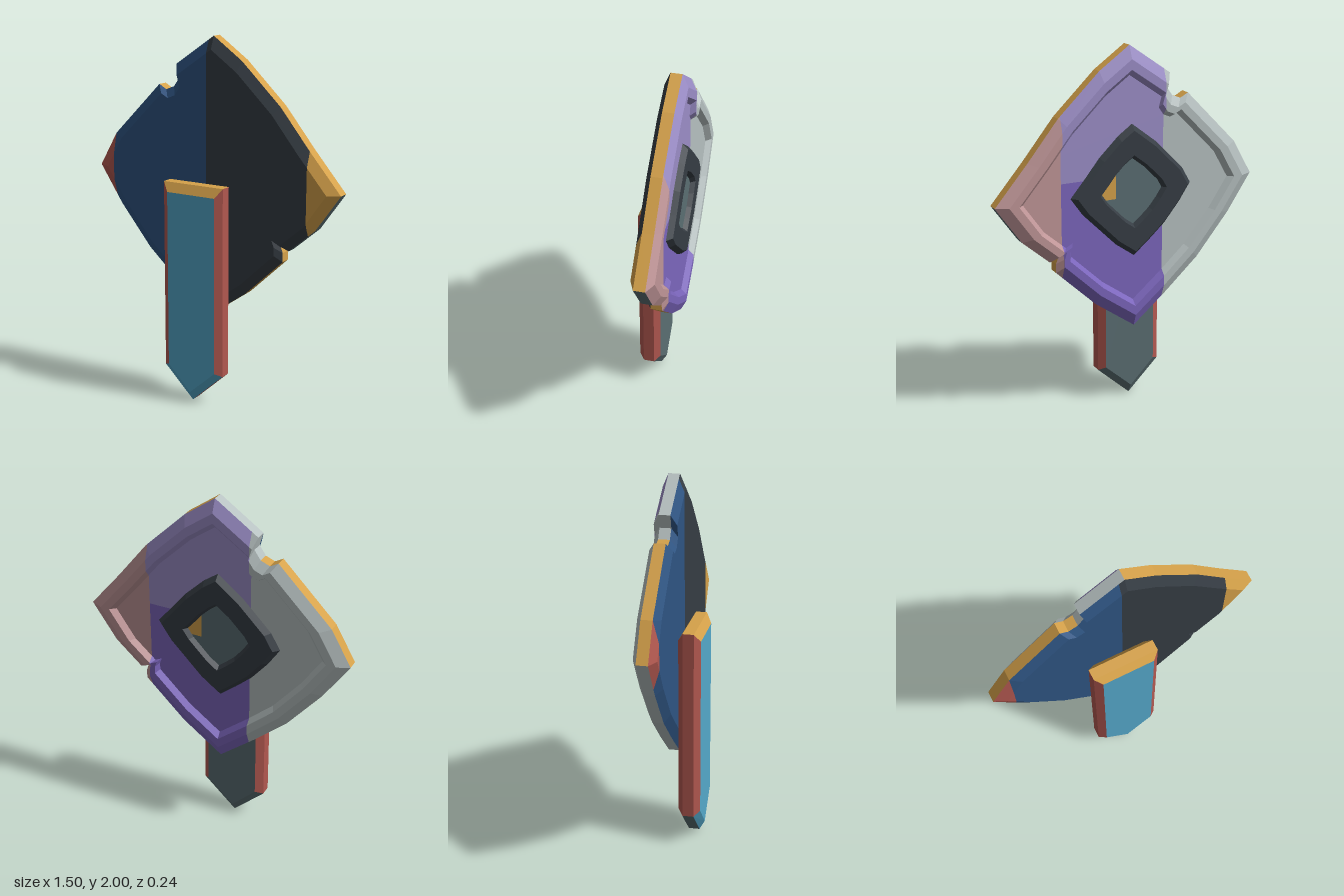
import * as THREE from 'three';

const colours = {
  blue: 0x2f5583, dark: 0x363d44, gold: 0xd6a24a, red: 0xb25850, cyan: 0x55a9cb,
  slate: 0x5a6e72, lilac: 0x9c8ec8, purple: 0x7c66bd, pink: 0xc09698, grey: 0xb6c0c0,
};
const materials = {};
for (const [name, color] of Object.entries(colours)) {
  materials[name] = new THREE.MeshStandardMaterial({ color });
  materials[name].name = name;
}

const CY = 1.23; // height of the plate's centre
const FAR = 9;

// Colour regions: [colour, xMin, xMax, yMin, yMax]
const FRONT = [
  ['red', -FAR, -0.64], ['blue', -0.64, -0.03], ['dark', -0.03, 0.57], ['gold', 0.57, FAR],
];
const BACK = [
  ['grey', -FAR, -0.2], ['lilac', -0.2, 0.39, 1.32, FAR],
  ['purple', -0.2, 0.39, -FAR, 1.32], ['pink', 0.39, FAR],
];
const FLOOR = [
  ['slate', -FAR, 0.08], ['gold', 0.08, FAR, 1.2, FAR], ['slate', 0.08, FAR, -FAR, 1.2],
];

// Keeps the part of a polygon where sign * (p[axis] - limit) >= 0
function clip(poly, axis, limit, sign) {
  const out = [];
  poly.forEach((p, i) => {
    const q = poly[(i + 1) % poly.length];
    const dp = sign * (p[axis] - limit), dq = sign * (q[axis] - limit);
    if (dp >= 0) out.push(p);
    if (dp * dq < 0) out.push(p.clone().lerp(q, dp / (dp - dq)));
  });
  return out;
}

// Collects flat faces by colour and turns them into one mesh per colour
class Painter {
  constructor() { this.buckets = {}; }

  face(poly, paint) {
    const regions = typeof paint === 'string' ? [[paint, -FAR, FAR]] : paint;
    for (const [name, x0, x1, y0 = -FAR, y1 = FAR] of regions) {
      let part = clip(clip(poly, 'x', x0, 1), 'x', x1, -1);
      part = clip(clip(part, 'y', y0, 1), 'y', y1, -1);
      const list = (this.buckets[name] ??= []);
      for (let i = 1; i + 1 < part.length; i++) {
        for (const p of [part[0], part[i], part[i + 1]]) list.push(p.x, p.y, p.z);
      }
    }
  }

  // Band between two loops; paint may be a function of the edge midpoint
  band(a, b, paint) {
    a.forEach((p, i) => {
      const j = (i + 1) % a.length;
      const mid = b[i].clone().add(b[j]).multiplyScalar(0.5);
      const c = typeof paint === 'function' ? paint(mid) : paint;
      this.face([p, a[j], b[j]], c);
      this.face([p, b[j], b[i]], c);
    });
  }

  cap(loop, paint, back = false) {
    const flat = loop.map((p) => new THREE.Vector2(p.x, p.y));
    for (const t of THREE.ShapeUtils.triangulateShape(flat, [])) {
      const tri = t.map((k) => loop[k]);
      this.face(back ? tri.reverse() : tri, paint);
    }
  }

  build(name) {
    const group = new THREE.Group();
    group.name = name;
    for (const [colour, list] of Object.entries(this.buckets)) {
      if (!list.length) continue;
      const g = new THREE.BufferGeometry();
      g.setAttribute('position', new THREE.Float32BufferAttribute(list, 3));
      g.computeVertexNormals();
      const mesh = new THREE.Mesh(g, materials[colour]);
      mesh.name = `${name} ${colour}`;
      group.add(mesh);
    }
    return group;
  }
}

// Scaled copy of an outline at depth z
const ring = (pts, scale, z, cx = 0) =>
  pts.map(([x, y]) => new THREE.Vector3(cx + x * scale, CY + (y - CY) * scale, z));

// Diamond outline, counter-clockwise from the top, with and without its two chips
const upperLeft = [[-0.64, 1.43], [-0.75, 1.24], [-0.61, 1.03], [-0.42, 0.8], [-0.23, 0.63], [-0.03, 0.465], [0.2, 0.63]];
const upperRight = [[0.61, 1.04], [0.75, 1.24], [0.57, 1.45], [0.4, 1.66], [0.17, 1.88]];
const topChip = [[-0.235, 1.84], [-0.215, 1.77], [-0.25, 1.72], [-0.3, 1.7], [-0.345, 1.725]];
const lowChip = [[0.425, 0.845], [0.425, 0.895], [0.41, 0.935], [0.46, 0.91]];
const chipped = [[0, 2], ...topChip, ...upperLeft, ...lowChip, ...upperRight];
const plain = [[0, 2], [-0.3, 1.77], ...upperLeft, [0.43, 0.86], ...upperRight];

function makePlate() {
  const p = new Painter();
  const sideColour = (m) => {
    if (m.y > 1.24) return m.x < -0.24 || m.x > 0 ? 'gold' : 'grey';
    if (m.x < -0.03) return 'grey';
    return m.x > 0.45 ? 'slate' : 'gold';
  };
  // recessed back panel, raised rim, bevels, side wall and front
  const loops = [[0.8, -0.09], [0.84, -0.12], [0.91, -0.12], [1, -0.09], [1, -0.03], [0.91, 0]]
    .map(([s, z]) => ring(chipped, s, z));
  const paints = [BACK, BACK, BACK, sideColour, FRONT];
  p.cap(loops[0], BACK, true);
  paints.forEach((paint, i) => p.band(loops[i], loops[i + 1], paint));
  p.cap(loops[5], FRONT);
  return p.build('plate');
}

function makeBackRing() {
  const p = new Painter();
  const loops = [[0.23, -0.09], [0.26, -0.12], [0.43, -0.12], [0.47, -0.09]]
    .map(([s, z]) => ring(plain, s, z, -0.015));
  for (let i = 0; i < 3; i++) p.band(loops[i], loops[i + 1], 'dark');
  p.cap(ring(plain, 0.24, -0.094, -0.015), FLOOR, true);
  return p.build('backRing');
}

function makePlank() {
  const p = new Painter();
  const at = (pts, z) => pts.map(([x, y]) => new THREE.Vector3(x, y, z));
  const outer = [[-0.24, 1.225], [-0.24, 0.175], [-0.06, 0], [0.13, 0.175], [0.13, 1.225]];
  const inner = [[-0.2, 1.175], [-0.2, 0.195], [-0.06, 0.055], [0.095, 0.195], [0.095, 1.175]];
  const loops = [at(inner, 0), at(outer, 0.03), at(outer, 0.09), at(inner, 0.12)];
  // gold top, red long sides, and a tip coloured by layer
  const edge = (tip) => (m) => {
    if (m.y > 1.1) return 'gold';
    return m.y > 0.3 ? 'red' : tip(m);
  };
  p.cap(loops[0], 'slate', true);
  p.band(loops[0], loops[1], edge(() => 'slate'));
  p.band(loops[1], loops[2], edge((m) => (m.x > -0.06 ? 'red' : 'slate')));
  p.band(loops[2], loops[3], edge(() => 'cyan'));
  p.cap(loops[3], 'cyan');
  return p.build('plank');
}

export function createModel() {
  const model = new THREE.Group();
  model.name = 'signBoard';
  model.add(makePlate(), makeBackRing(), makePlank());
  return model;
}
